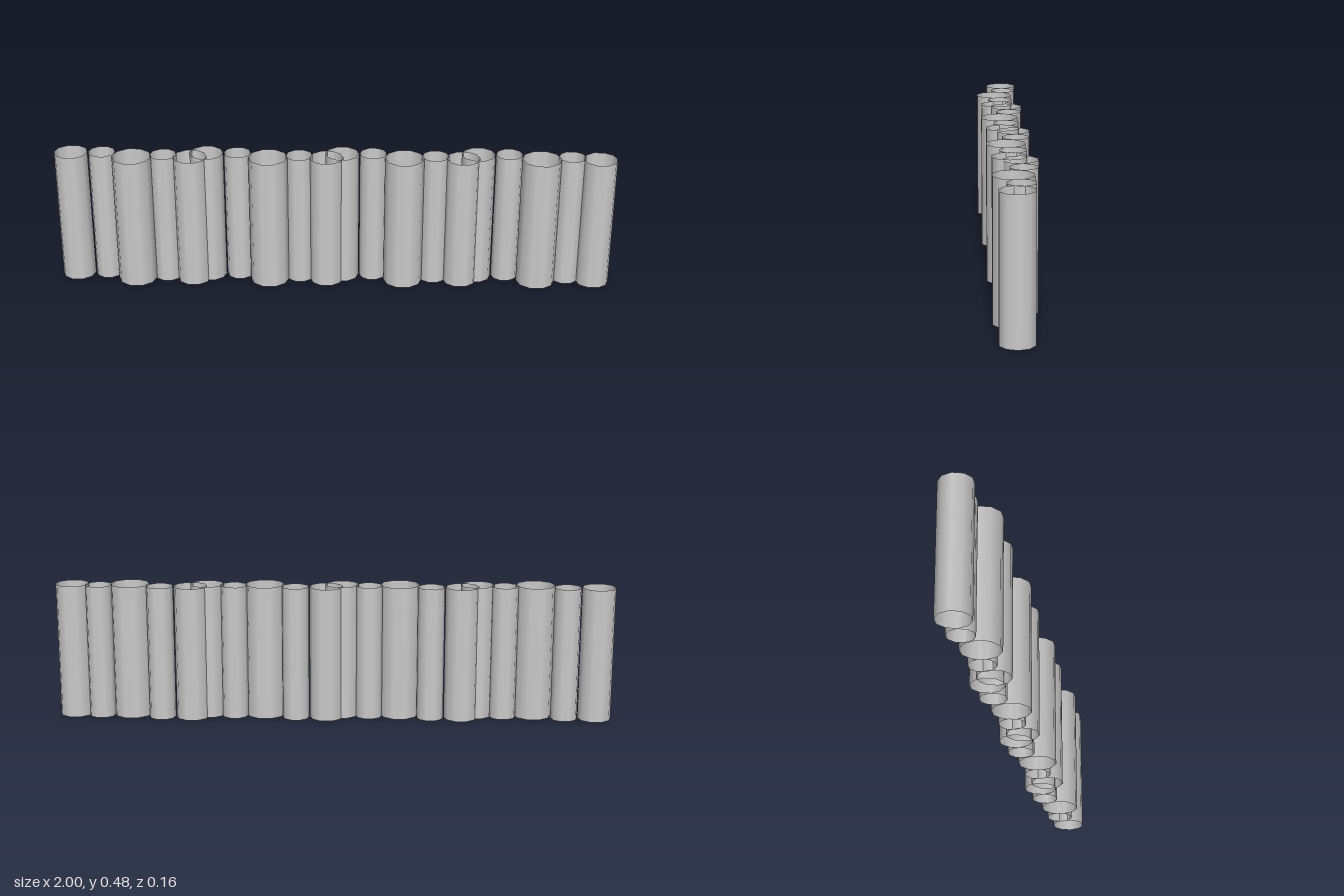
import * as THREE from 'three';

const HEIGHT = 0.484;
const SPACING = 0.484; // one group of tubes repeats at this step
const SIDES = 10;

// Tubes of one group: x offset from the large tube, z, radius
const TUBES = [
  { name: 'rearMediumTube', x: -0.221, z: -0.023, r: 0.06 },
  { name: 'rearSmallTube', x: -0.111, z: -0.026, r: 0.048 },
  { name: 'largeTube', x: 0, z: 0.0135, r: 0.07 },
  { name: 'frontSmallTube', x: 0.11, z: -0.006, r: 0.048 },
  { name: 'frontMediumTube', x: 0.207, z: 0.0125, r: 0.06 },
];

export function createModel() {
  const model = new THREE.Group();
  model.name = 'tubeFence';
  const material = new THREE.MeshStandardMaterial({ color: 0xcccccc, side: THREE.DoubleSide });

  // Four equal groups of open-ended, smooth-shaded tubes in a row
  for (let i = 0; i < 4; i++) {
    const group = new THREE.Group();
    group.name = `tubeGroup${i + 1}`;
    group.position.x = -0.719 + i * SPACING;
    for (const { name, x, z, r } of TUBES) {
      // Starting at a quarter turn puts corners on the x axis
      const geometry = new THREE.CylinderGeometry(r, r, HEIGHT, SIDES, 1, true, Math.PI / 2);
      const tube = new THREE.Mesh(geometry, material);
      tube.name = name;
      tube.position.set(x, HEIGHT / 2, z);
      group.add(tube);
    }
    model.add(group);
  }
  return model;
}
